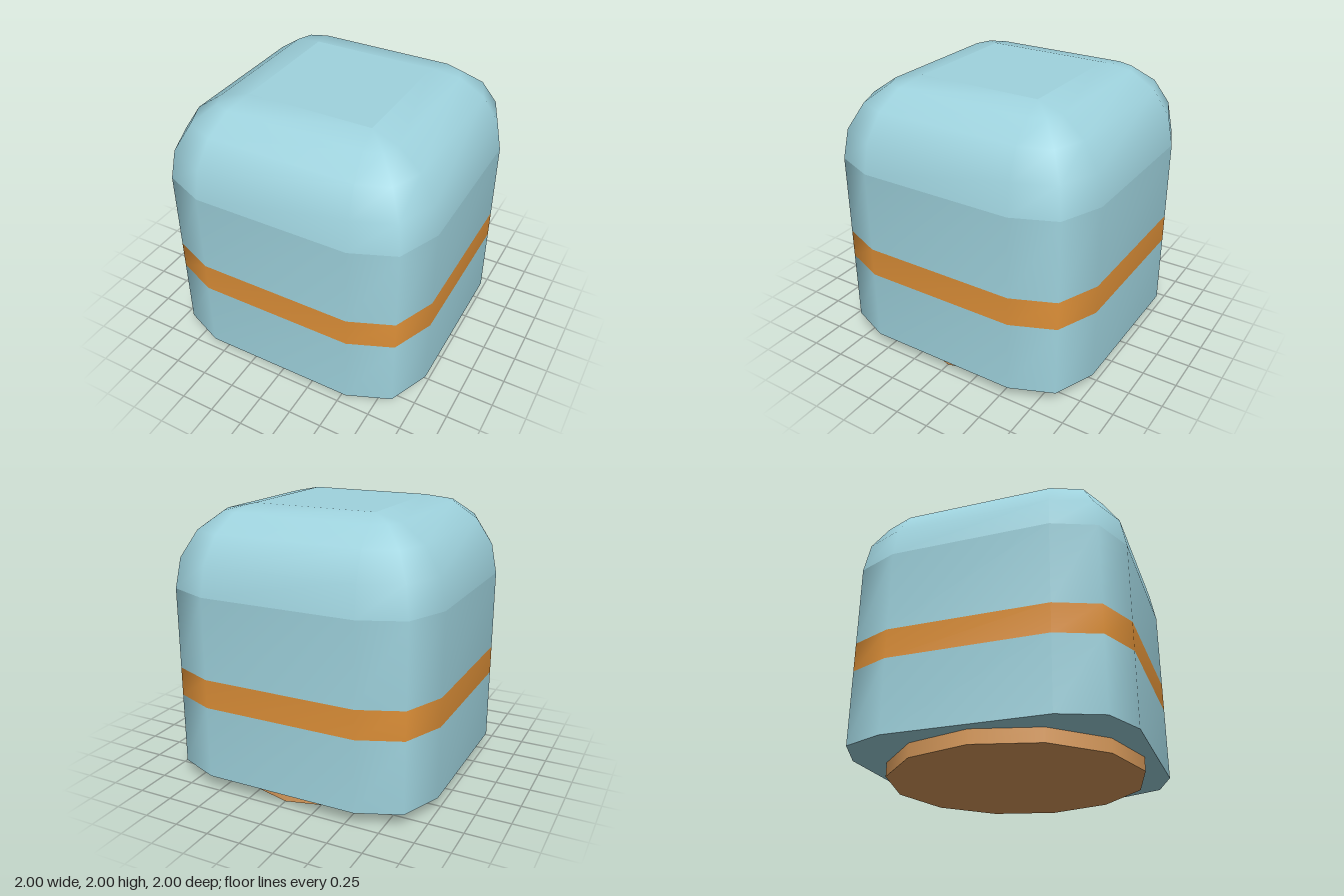
import * as THREE from 'three';
import { mergeVertices } from 'three/addons/utils/BufferGeometryUtils.js';

// Rounded-square ring: straight half-length s, corner radius r, height y.
// Points run counter-clockwise seen from above, three per corner.
function ring(s, r, y) {
  const points = [];
  for (let k = 0; k < 4; k++) {
    const mid = (k + 0.5) * Math.PI / 2;
    const cx = Math.sign(Math.cos(mid)) * s, cz = Math.sign(Math.sin(mid)) * s;
    for (let j = 0; j < 3; j++) {
      const a = k * Math.PI / 2 + j * Math.PI / 4;
      points.push([cx + r * Math.cos(a), y, -(cz + r * Math.sin(a))]);
    }
  }
  return points;
}

function finish(positions) {
  const geometry = new THREE.BufferGeometry();
  geometry.setAttribute('position', new THREE.Float32BufferAttribute(positions, 3));
  const merged = mergeVertices(geometry, 1e-4);
  merged.computeVertexNormals();
  return merged;
}

// Smooth skin between stacked rings, listed from bottom to top
function skin(rings) {
  const p = [];
  for (let i = 0; i < rings.length - 1; i++) {
    const lo = rings[i], hi = rings[i + 1], n = lo.length;
    for (let j = 0; j < n; j++) {
      const k = (j + 1) % n;
      p.push(...lo[j], ...lo[k], ...hi[k], ...lo[j], ...hi[k], ...hi[j]);
    }
  }
  return finish(p);
}

// Flat face filling one ring
function cap(points, facingUp) {
  const p = [];
  for (let j = 1; j < points.length - 1; j++) {
    const [b, c] = facingUp ? [j, j + 1] : [j + 1, j];
    p.push(...points[0], ...points[b], ...points[c]);
  }
  return finish(p);
}

export function createModel() {
  const group = new THREE.Group();
  const shell = new THREE.MeshStandardMaterial({ name: 'pale blue', color: 0x9fd3de });
  const band = new THREE.MeshStandardMaterial({ name: 'orange', color: 0xde9038 });
  const tan = new THREE.MeshStandardMaterial({ name: 'tan', color: 0xdc9d5d });

  const add = (name, geometry, material) => {
    const mesh = new THREE.Mesh(geometry, material);
    mesh.name = name;
    group.add(mesh);
    return mesh;
  };
  const wall = (y0, y1) => skin([ring(0.57, 0.43, y0), ring(0.57, 0.43, y1)]);

  // Upright walls with a flush stripe
  add('lowerWall', wall(0.1, 0.63), shell);
  add('stripe', wall(0.63, 0.84), band);
  add('upperWall', wall(0.84, 1.43), shell);
  add('underside', cap(ring(0.57, 0.43, 0.1), false), shell);

  // Domed shoulders closing in to a square flat top
  const domeRings = [];
  for (let i = 0; i <= 4; i++) {
    const a = i * Math.PI / 8, c = Math.cos(a);
    domeRings.push(ring(0.46 + 0.11 * c, 0.43 * c, 1.43 + 0.57 * Math.sin(a)));
  }
  add('dome', skin(domeRings), shell);
  add('flatTop', cap(domeRings[4], true), shell);

  // Twelve-sided foot
  add('foot', new THREE.CylinderGeometry(0.92, 0.92, 0.1, 12), tan).position.y = 0.05;

  return group;
}
